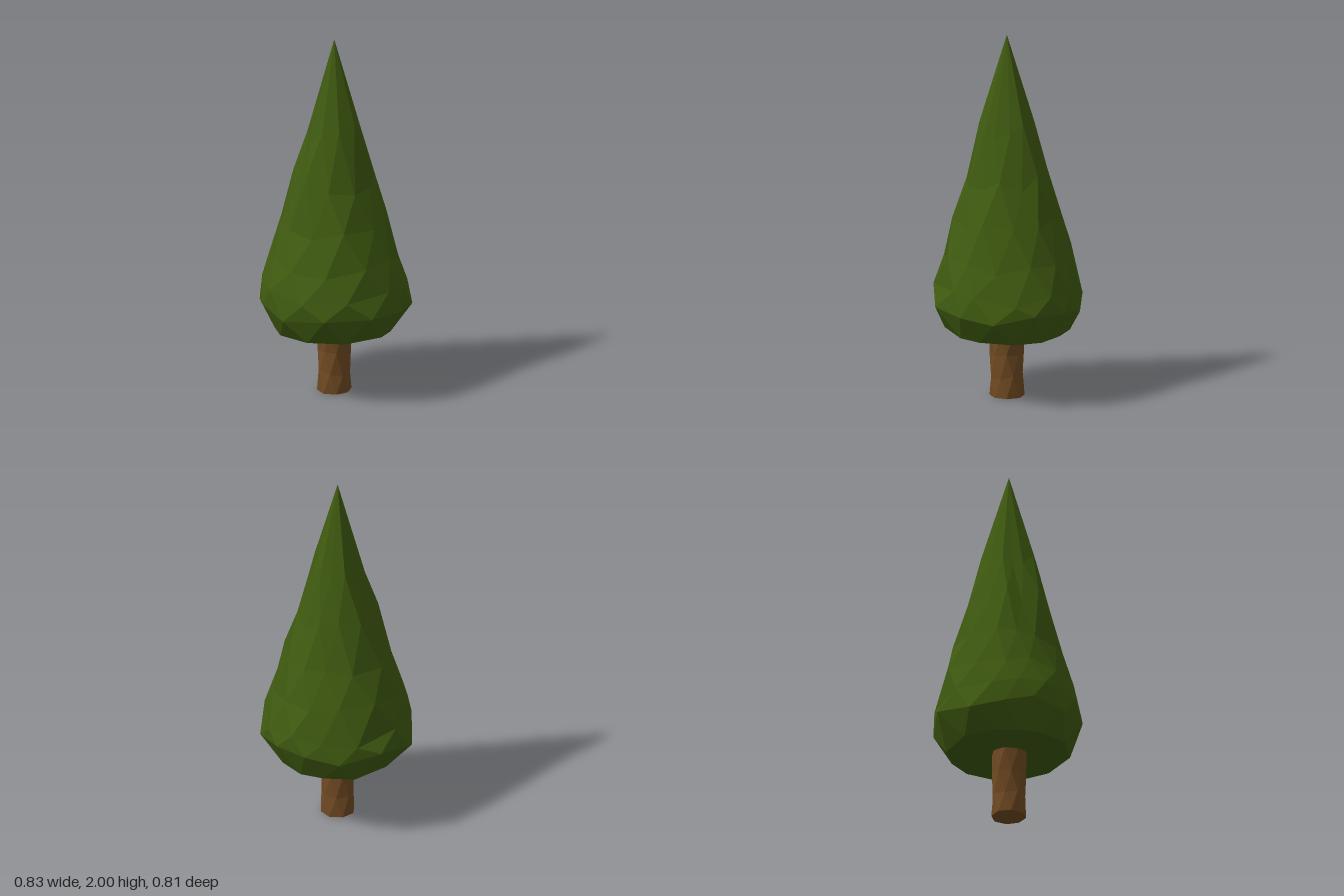
import * as THREE from 'three';

// Seeded noise in the range -1..1
function makeNoise(seed) {
  let s = seed;
  return () => {
    s = (s * 16807) % 2147483647;
    return (s / 2147483647) * 2 - 1;
  };
}

// Faceted loft: each ring [y, scale, jitterY] turns half a step past the one below.
// Closed by a flat cap below and by a point at topY.
function twistedLoft(outline, rings, topY, jitterR, seed) {
  const noise = makeNoise(seed);
  const n = outline.length;
  const loops = rings.map(([y, scale, jitterY], k) => outline.map((_, i) => {
    const t = i + k / 2;
    const a = outline[Math.floor(t) % n];
    const b = outline[Math.ceil(t) % n];
    const p = new THREE.Vector2((a[0] + b[0]) / 2, (a[1] + b[1]) / 2);
    const radius = (Math.hypot(...a) + Math.hypot(...b)) / 2;
    p.setLength(radius * scale * (1 + jitterR * noise()));
    return new THREE.Vector3(p.x, y + jitterY * noise(), p.y);
  }));
  const bottom = new THREE.Vector3(0, rings[0][0], 0);
  const tip = new THREE.Vector3(0, topY, 0);
  const points = [];
  for (let i = 0; i < n; i++) {
    const j = (i + 1) % n;
    points.push(bottom, loops[0][i], loops[0][j]);
    for (let k = 0; k < loops.length - 1; k++) {
      const low = loops[k], high = loops[k + 1];
      points.push(low[i], high[i], low[j], high[i], high[j], low[j]);
    }
    const last = loops[loops.length - 1];
    points.push(last[i], tip, last[j]);
  }
  const geometry = new THREE.BufferGeometry().setFromPoints(points);
  geometry.computeVertexNormals();
  return geometry;
}

export function createModel() {
  const tree = new THREE.Group();
  tree.name = 'coniferTree';

  const leafGreen = new THREE.MeshStandardMaterial({ color: 0x3f5a10, flatShading: true });
  leafGreen.name = 'leafGreen';
  const barkBrown = new THREE.MeshStandardMaterial({ color: 0x704a22, flatShading: true });
  barkBrown.name = 'barkBrown';

  // Foliage: irregular plan outline at its widest, tapering to the tip
  const rim = [
    [0.405, -0.05], [0.39, 0.1], [0.24, 0.33], [0, 0.405], [-0.23, 0.335], [-0.33, 0.22],
    [-0.405, 0.09], [-0.385, -0.15], [-0.22, -0.36], [-0.02, -0.41], [0.15, -0.39], [0.31, -0.27],
  ];
  const foliageRings = [
    [0.37, 0.8, 0.008], [0.51, 1, 0.03], [0.62, 0.965, 0.03], [0.79, 0.85, 0.04],
    [0.99, 0.7, 0.05], [1.22, 0.54, 0.05], [1.48, 0.36, 0.06],
  ];
  const foliage = new THREE.Mesh(twistedLoft(rim, foliageRings, 2, 0.025, 41), leafGreen);
  foliage.name = 'foliage';
  tree.add(foliage);

  // Trunk: twisted eight-sided post running up into the foliage
  const octagon = Array.from({ length: 8 }, (_, i) => {
    const a = (i * Math.PI) / 4 + 0.2;
    return [0.094 * Math.cos(a), 0.094 * Math.sin(a)];
  });
  const trunkRings = [[0, 1, 0], [0.11, 0.94, 0.015], [0.24, 0.96, 0.015], [0.36, 1, 0.01], [0.42, 0.95, 0]];
  const trunk = new THREE.Mesh(twistedLoft(octagon, trunkRings, 0.42, 0.04, 7), barkBrown);
  trunk.name = 'trunk';
  tree.add(trunk);

  return tree;
}
